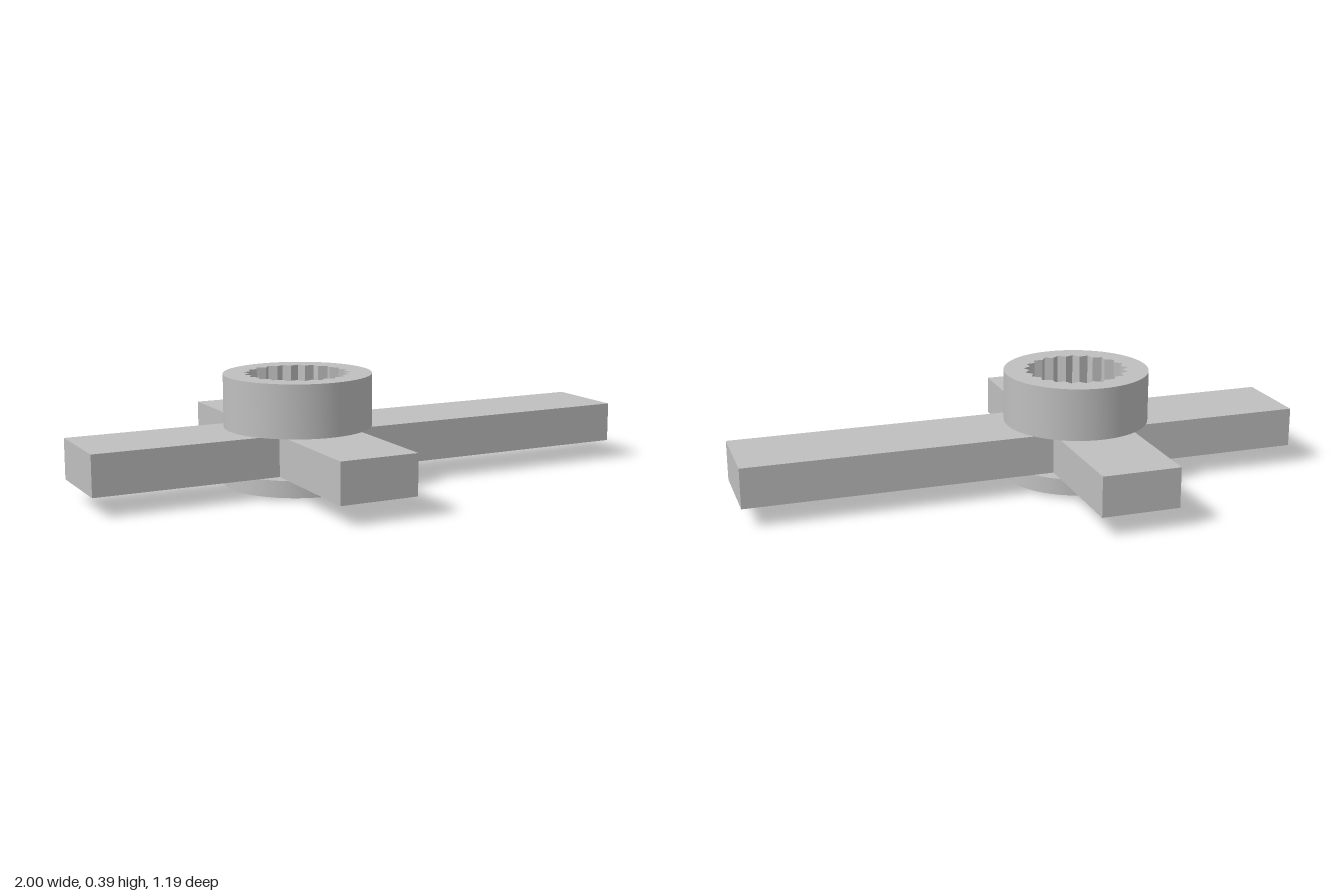
import * as THREE from 'three';
import { toCreasedNormals } from 'three/addons/utils/BufferGeometryUtils.js';

const HUB_X = -0.217;   // hub axis
const HUB_R = 0.256;
const SCREW_R = 0.045;
const ARM_Y0 = 0.068, ARM_Y1 = 0.208;

const circle = (Type, r) => new Type().absarc(0, 0, r, 0, Math.PI * 2, false);

// toothed bore outline
function splinePath(teeth, rIn, rOut) {
  const pts = [];
  for (let i = 0; i < teeth * 2; i++) {
    const a = Math.PI / 2 + (i / (teeth * 2)) * Math.PI * 2;
    const r = i % 2 ? rOut : rIn;
    pts.push(new THREE.Vector2(r * Math.cos(a), r * Math.sin(a)));
  }
  return new THREE.Path(pts);
}

// four arms of a plus shape, in hub coordinates
function crossShape() {
  const l = -1 - HUB_X, r = 1 - HUB_X, w = 0.148, c = 0.137, d = 0.597;
  return new THREE.Shape([
    [l, -w], [-c, -w], [-c, -d], [c, -d], [c, -w], [r, -w],
    [r, w], [c, w], [c, d], [-c, d], [-c, w], [l, w],
  ].map(([x, y]) => new THREE.Vector2(x, y)));
}

export function createModel() {
  const group = new THREE.Group();
  group.name = 'splinedCrossHorn';
  const grey = new THREE.MeshStandardMaterial({ color: 0xbfbfbf });
  grey.name = 'grey plastic';

  // horizontal slab with a hole, from y0 up to y1
  function slab(name, shape, hole, y0, y1) {
    shape.holes.push(hole);
    const geo = new THREE.ExtrudeGeometry(shape, { depth: y1 - y0, bevelEnabled: false, curveSegments: 48 });
    geo.rotateX(-Math.PI / 2);
    const mesh = new THREE.Mesh(toCreasedNormals(geo, 0.3), grey);
    mesh.name = name;
    mesh.position.set(HUB_X, y0, 0);
    group.add(mesh);
  }
  const screwHole = () => circle(THREE.Path, SCREW_R);

  slab('bottomBoss', circle(THREE.Shape, 0.143), screwHole(), 0, 0.01);
  slab('lowerFlange', circle(THREE.Shape, HUB_R), screwHole(), 0.01, ARM_Y0);
  slab('crossArms', crossShape(), screwHole(), ARM_Y0, ARM_Y1);
  slab('splinedHub', circle(THREE.Shape, HUB_R), splinePath(21, 0.165, 0.185), ARM_Y1, 0.391);

  return group;
}
